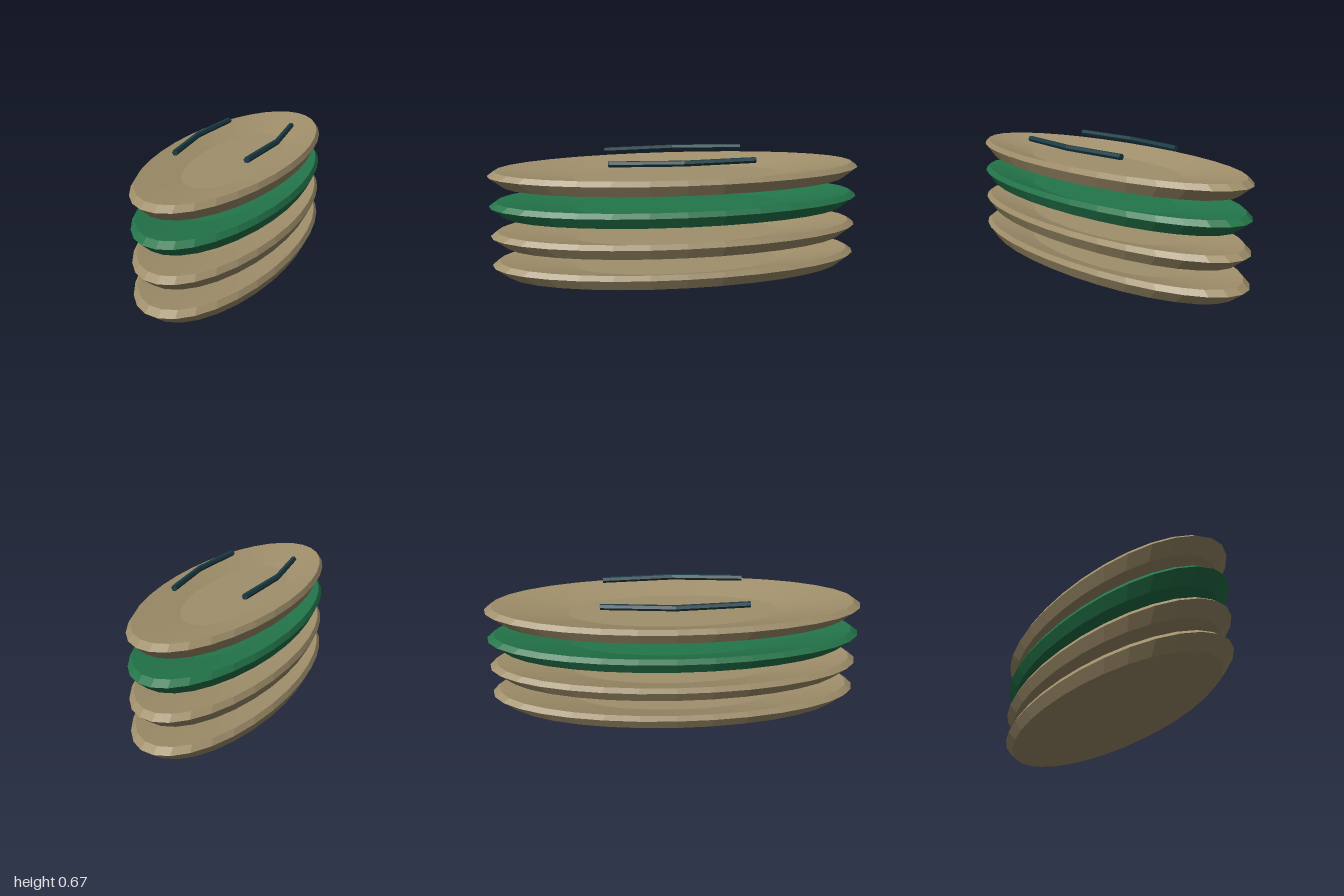
import * as THREE from 'three';

export function createModel() {
  const model = new THREE.Group();
  const flat = (name, color) => {
    const m = new THREE.MeshStandardMaterial({ color, flatShading: true });
    m.name = name;
    return m;
  };
  const tan = flat('tan', 0xa08f6b);
  const green = flat('green', 0x23754a);
  const teal = flat('darkTeal', 0x1a3c45);

  // Shallow oval dish: underside, bevelled rim, then sloping inside to a flat floor
  const profile = [
    [0, 0], [0.61, 0], [0.922, 0.025], [1, 0.082],
    [0.963, 0.108], [0.56, 0.056], [0, 0.056],
  ].map(([r, y]) => new THREE.Vector2(r, y));
  const dishGeometry = new THREE.LatheGeometry(profile, 32);
  dishGeometry.scale(0.373, 1, 1);

  // Stack of four floating dishes, the third one green
  for (let i = 0; i < 4; i++) {
    const dish = new THREE.Mesh(dishGeometry, i === 2 ? green : tan);
    dish.name = `dish${i + 1}`;
    dish.position.y = i * 0.163;
    model.add(dish);
  }

  // Hexagonal rails above the top dish, bent outwards at the middle
  for (const side of [-1, 1]) {
    const geometry = new THREE.CylinderGeometry(0.016, 0.016, 0.76, 6, 2);
    geometry.rotateY(Math.PI / 2);
    geometry.rotateX(Math.PI / 2);
    const p = geometry.attributes.position;
    for (let i = 0; i < p.count; i++) {
      p.setX(i, p.getX(i) + side * (0.222 - 0.034 * Math.abs(p.getZ(i)) / 0.38));
    }
    geometry.computeVertexNormals();
    const rail = new THREE.Mesh(geometry, teal);
    rail.name = side > 0 ? 'leftRail' : 'rightRail';
    rail.position.y = 0.652;
    model.add(rail);
  }

  return model;
}
